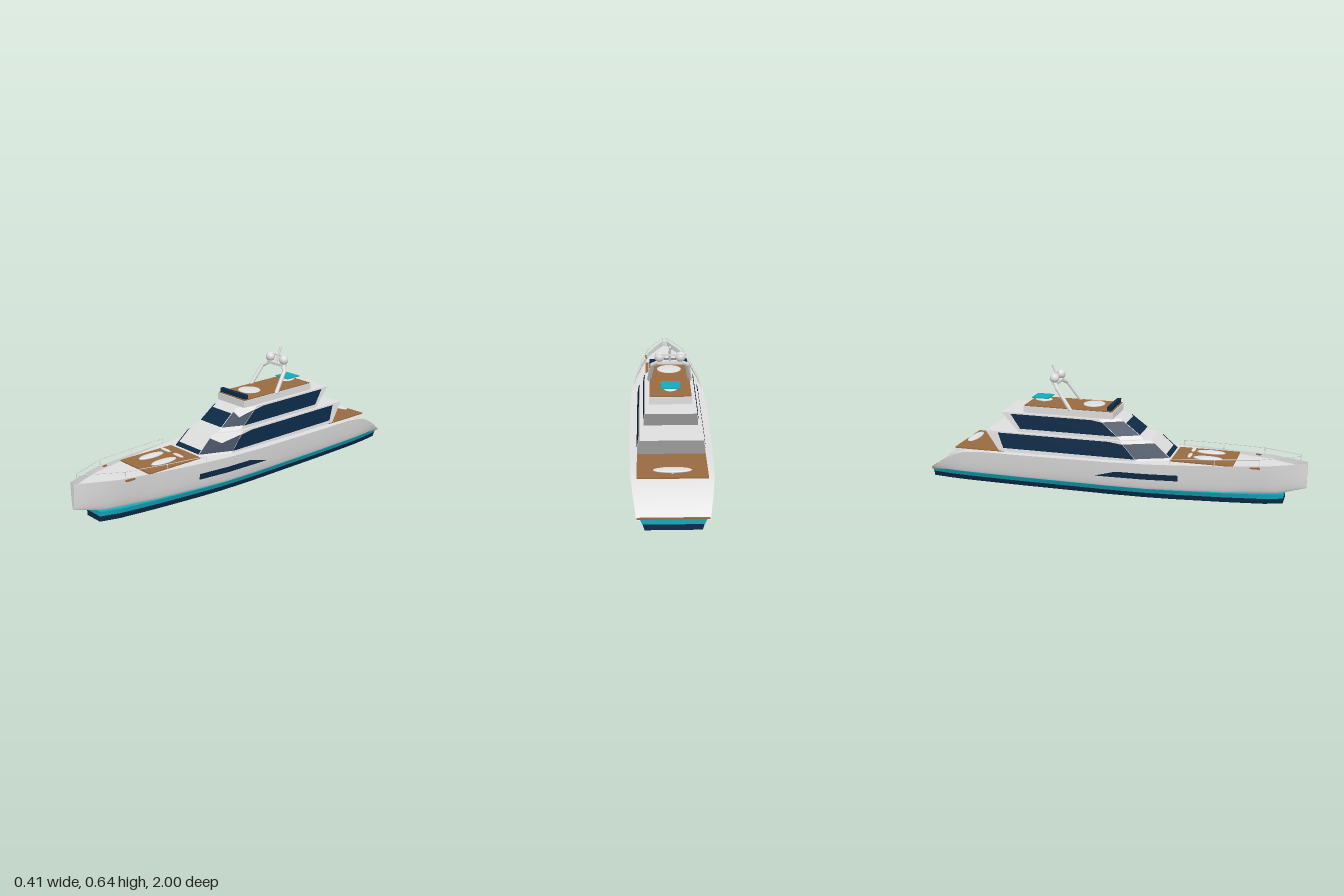
import * as THREE from 'three';

const V = (x, y, z) => new THREE.Vector3(x, y, z);
const lerp = THREE.MathUtils.lerp;
const mat = (name, color) => {
  const m = new THREE.MeshStandardMaterial({ color, side: THREE.DoubleSide });
  m.name = name;
  return m;
};

// piecewise linear lookup in [position, value] pairs
function table(rows) {
  return (z) => {
    if (z <= rows[0][0]) return rows[0][1];
    for (let i = 1; i < rows.length; i++) {
      const [a, va] = rows[i - 1], [b, vb] = rows[i];
      if (z <= b) return lerp(va, vb, (z - a) / (b - a));
    }
    return rows[rows.length - 1][1];
  };
}

// hull lines: half beam, sheer height, keel height, fullness at the bottom, depth of bow deck
const beam = table([[-1, 0.165], [-0.9, 0.182], [-0.8, 0.192], [-0.5, 0.2], [0, 0.203], [0.2, 0.196],
  [0.35, 0.18], [0.6, 0.143], [0.8, 0.104], [0.9, 0.062], [1, 0.015]]);
const sheer = table([[-1, 0.052], [-0.95, 0.096], [-0.9, 0.129], [-0.85, 0.154], [-0.8, 0.17],
  [-0.7, 0.181], [0, 0.19], [0.35, 0.197], [1, 0.213]]);
const keel = table([[0.85, 0.045], [1, 0.08]]);
const fullness = table([[0.2, 0.84], [0.6, 0.74], [1, 0.35]]);
const sink = table([[0.3, 0.002], [0.7, 0.02], [1, 0.03]]);

function hullX(z, y) {
  const t = THREE.MathUtils.clamp((y - keel(z)) / (sheer(z) - keel(z)), 0, 1);
  return beam(z) * lerp(fullness(z), 1, Math.sqrt(t));
}

const stations = (a, b, n) => Array.from({ length: n + 1 }, (_, i) => lerp(a, b, i / n));

// skin over a list of cross-sections
function loft(sections, { closed = false, caps = false, flat = false } = {}) {
  const n = sections[0].length, pos = [], idx = [];
  sections.forEach((s) => s.forEach((p) => pos.push(p.x, p.y, p.z)));
  for (let i = 0; i < sections.length - 1; i++) {
    for (let j = 0; j < (closed ? n : n - 1); j++) {
      const a = i * n + j, b = i * n + (j + 1) % n;
      idx.push(a, b, a + n, b, b + n, a + n);
    }
  }
  if (caps) {
    const o = (sections.length - 1) * n;
    for (let j = 1; j < n - 1; j++) idx.push(0, j + 1, j, o, o + j, o + j + 1);
  }
  let g = new THREE.BufferGeometry();
  g.setAttribute('position', new THREE.Float32BufferAttribute(pos, 3));
  g.setIndex(idx);
  if (flat) g = g.toNonIndexed();
  g.computeVertexNormals();
  return g;
}

export function createModel() {
  const root = new THREE.Group();
  root.name = 'motorYacht';
  const white = mat('hullWhite', 0xdedede);
  const navy = mat('navyGlass', 0x0d2a47);
  const teal = mat('tealTrim', 0x12aabd);
  const wood = mat('teakDeck', 0x986a3f);

  const add = (name, geo, m, x = 0, y = 0, z = 0) => {
    const mesh = new THREE.Mesh(geo, m);
    mesh.name = name;
    mesh.position.set(x, y, z);
    root.add(mesh);
    return mesh;
  };
  const box = (name, m, w, h, d, x, y, z) => add(name, new THREE.BoxGeometry(w, h, d), m, x, y, z);
  const ball = (name, m, rx, ry, rz, x, y, z) =>
    add(name, new THREE.SphereGeometry(1, 20, 12), m, x, y, z).scale.set(rx, ry, rz);
  const rod = (name, m, a, b, r, sides = 8) => {
    const mesh = add(name, new THREE.CylinderGeometry(r, r, a.distanceTo(b), sides), m);
    mesh.position.copy(a).lerp(b, 0.5);
    mesh.quaternion.setFromUnitVectors(V(0, 1, 0), b.clone().sub(a).normalize());
  };

  // hull sides, with a narrow flat stem closing the bow
  const zs = stations(-1, 1, 40);
  for (const s of [1, -1]) {
    add('hullSide', loft(zs.map((z) => [0, 0.04, 0.15, 0.35, 0.65, 1].map((t) => {
      const y = lerp(keel(z), sheer(z), t);
      return V(s * hullX(z, y), y, z);
    }))), white);
  }
  add('stem', loft([0, 0.15, 0.5, 1].map((t) => {
    const y = lerp(keel(1), sheer(1), t), x = hullX(1, y);
    return [V(-x, y, 1), V(x, y, 1)];
  })), white);
  add('hullBottom', loft(zs.map((z) => [1, -1].map((s) => V(s * hullX(z, keel(z)), keel(z), z)))), white);
  // deck, sunk behind the bulwark at the bow
  add('mainDeck', loft(zs.map((z) => [-1, -0.5, 0, 0.5, 1].map((k) => {
    const y = sheer(z) - (z < 0.3 ? 0 : sink(z));
    return V(k * hullX(z, y), y, z);
  }))), white);

  // waterline band and bottom
  const slab = (name, m, y0, k0, y1, k1) => add(name, loft(stations(-1, 0.89, 40).map((z) => {
    const w = beam(z);
    return [V(-k1 * w, y1, z), V(-k0 * w, y0, z), V(k0 * w, y0, z), V(k1 * w, y1, z)];
  }), { closed: true, caps: true, flat: true }), m);
  slab('waterlineBand', teal, 0.03, 0.84, 0.055, 0.9);
  slab('bottomPaint', navy, 0.002, 0.78, 0.03, 0.83);
  add('keelPlate', loft([[V(-0.105, 0, -0.43), V(0.105, 0, -0.43)], [V(-0.09, 0, 0.37), V(0.09, 0, 0.37)]]), white);
  box('sternStep', wood, 0.325, 0.006, 0.02, 0, 0.057, -0.99);

  // hull windows and anchor pockets
  for (const s of [1, -1]) {
    add('hullWindow', loft(stations(-0.06, 0.37, 20).map((z) => {
      const top = Math.min(0.142, lerp(0.111, 0.142, (z + 0.06) / 0.11));
      return [0, 0.5, 1].map((t) => {
        const y = lerp(0.11, top, t);
        return V(s * (hullX(z, y) + 0.004), y, z);
      });
    })), navy);
    box('anchorPocket', wood, 0.01, 0.008, 0.05, s * 0.117, 0.198, 0.75);
  }

  // deckhouse tiers: corners [x, z] at front, side and back
  const ring = (y, c) => [...c.map(([x, z]) => V(x, y, z)), ...[...c].reverse().map(([x, z]) => V(-x, y, z))];
  const tier = (name, y0, low, y1, high, frontBand) => {
    const lo = ring(y0, low), hi = ring(y1, high);
    add(name, loft([lo, hi], { closed: true, caps: true, flat: true }), white);
    // window pane drawn in (along, up) fractions of the wall between two corners
    const pane = (a, b, pts) => {
      const g = new THREE.ShapeGeometry(new THREE.Shape(pts.map((p) => new THREE.Vector2(...p))));
      const n = lo[b].clone().sub(lo[a]).cross(hi[a].clone().sub(lo[a])).normalize();
      if (n.dot(lo[a].clone().add(lo[b]).setY(0).add(V(0, 0, 0.1))) < 0) n.negate();
      const p = g.attributes.position;
      for (let i = 0; i < p.count; i++) {
        const u = p.getX(i), v = p.getY(i);
        const q = lo[a].clone().lerp(lo[b], u).lerp(hi[a].clone().lerp(hi[b], u), v).addScaledVector(n, 0.004);
        p.setXYZ(i, q.x, q.y, q.z);
      }
      g.computeVertexNormals();
      add(name + 'Window', g, navy);
    };
    const side = [[0, 0.18], [0.95, 0.18], [0.91, 0.94], [0.09, 0.94], [0, 0.85]];
    pane(1, 2, side);
    pane(4, 3, side);
    pane(0, 1, [[0, 0.18], [1, 0.18], [1, 0.85], [0.5, 0.56], [0, 0.83]]);
    pane(5, 4, [[0, 0.18], [1, 0.18], [1, 0.85], [0, 0.85]]);
    pane(5, 0, [[0, 0.18], [1, 0.18], [1, frontBand], [0, frontBand]]);
  };
  tier('lowerDeckhouse', 0.185, [[0.092, 0.33], [0.163, 0.16], [0.163, -0.6]],
    0.29, [[0.085, 0.21], [0.15, 0.06], [0.15, -0.68]], 0.34);
  tier('upperDeckhouse', 0.29, [[0.082, 0.17], [0.131, 0.06], [0.131, -0.5]],
    0.39, [[0.074, 0.04], [0.122, -0.06], [0.122, -0.6]], 0.75);

  // sundeck
  box('sundeckBase', white, 0.206, 0.036, 0.49, 0, 0.408, -0.235);
  box('sundeckFloor', wood, 0.2, 0.006, 0.48, 0, 0.428, -0.235);
  box('windscreen', navy, 0.194, 0.028, 0.022, 0, 0.438, -0.012);
  ball('roundSofa', white, 0.062, 0.007, 0.058, 0, 0.438, -0.12);
  ball('sundeckTable', white, 0.036, 0.006, 0.046, 0, 0.443, -0.4);
  rod('parasolPole', white, V(0, 0.43, -0.4), V(0, 0.458, -0.4), 0.006);
  box('parasol', teal, 0.092, 0.005, 0.092, 0, 0.46, -0.405);

  // teak decks with loungers
  box('foredeck', wood, 0.24, 0.006, 0.32, 0, 0.199, 0.48);
  box('aftDeck', wood, 0.326, 0.006, 0.28, 0, 0.184, -0.715);
  ball('aftTable', white, 0.09, 0.008, 0.028, 0, 0.201, -0.805);
  rod('aftTableLeg', white, V(0, 0.185, -0.805), V(0, 0.2, -0.805), 0.012);
  for (const s of [1, -1]) {
    ball('lounger', white, 0.028, 0.009, 0.076, s * 0.051, 0.208, 0.5);
    ball('loungerPillow', white, 0.04, 0.006, 0.011, s * 0.051, 0.216, 0.408);
  }

  // radar arch
  for (const s of [1, -1]) {
    const leg = [V(s * 0.101, 0.42, -0.22), V(s * 0.085, 0.525, -0.295), V(s * 0.05, 0.548, -0.32)];
    rod('archLeg', white, leg[0], leg[1], 0.011);
    rod('archShoulder', white, leg[1], leg[2], 0.011);
    ball('archElbow', white, 0.011, 0.011, 0.011, ...leg[1].toArray());
    ball('radarDome', white, 0.025, 0.025, 0.025, s * 0.051, 0.575, -0.322);
  }
  box('archBeam', white, 0.122, 0.014, 0.03, 0, 0.547, -0.32);
  box('antennaBar', white, 0.122, 0.008, 0.012, 0, 0.59, -0.335);
  rod('mast', white, V(0, 0.545, -0.315), V(0, 0.634, -0.35), 0.006);

  // bow rails
  const rail = [[0.013, 0.248, 0.965], [0.106, 0.241, 0.77], [0.146, 0.233, 0.55], [0.175, 0.225, 0.33]];
  for (const s of [1, -1]) {
    rail.forEach(([x, y, z], i) => {
      rod('railPost', white, V(s * x, 0.195, z), V(s * x, y, z), 0.0018, 6);
      if (i) {
        const [px, py, pz] = rail[i - 1];
        rod('bowRail', white, V(s * px, py, pz), V(s * x, y, z), 0.0018, 6);
      }
    });
  }
  return root;
}
